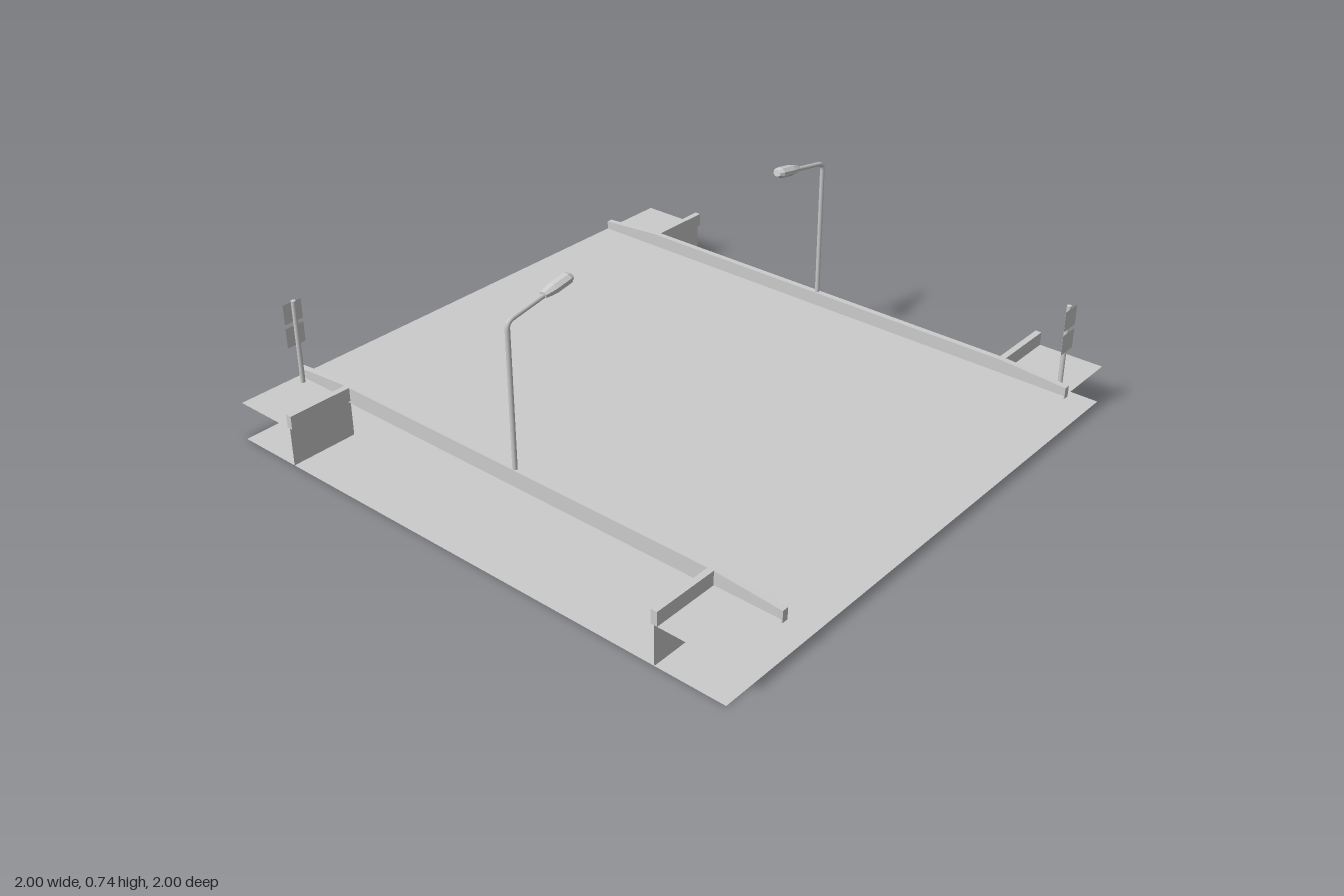
import * as THREE from 'three';

const DECK = 0.136; // road level
const EDGE = 0.757; // half width of the road

const grey = new THREE.MeshStandardMaterial({ color: 0xcccccc });
const sheet = new THREE.MeshStandardMaterial({ color: 0xcccccc, side: THREE.DoubleSide });
const faceted = new THREE.MeshStandardMaterial({ color: 0xcccccc, flatShading: true });

function add(parent, name, geometry, material, x = 0, y = 0, z = 0) {
  const mesh = new THREE.Mesh(geometry, material);
  mesh.name = name;
  mesh.position.set(x, y, z);
  parent.add(mesh);
  return mesh;
}

const floor = (w, d) => new THREE.PlaneGeometry(w, d).rotateX(-Math.PI / 2);

// Street lamp: bent pole with an arm over the road and a faceted head
function createLamp() {
  const lamp = new THREE.Group();
  lamp.name = 'streetLamp';
  const v = (x, y) => new THREE.Vector3(x, y, 0);
  const path = new THREE.CurvePath();
  path.add(new THREE.LineCurve3(v(0, 0.15), v(0, 0.655)));
  path.add(new THREE.QuadraticBezierCurve3(v(0, 0.655), v(0, 0.677), v(-0.025, 0.681)));
  path.add(new THREE.LineCurve3(v(-0.025, 0.681), v(-0.16, 0.704)));
  add(lamp, 'lampPole', new THREE.TubeGeometry(path, 64, 0.008, 8), grey);

  const profile = [[0, 0], [0.014, 0], [0.018, 0.012], [0.024, 0.04], [0.024, 0.1], [0.015, 0.115], [0, 0.115]]
    .map(([r, y]) => new THREE.Vector2(r, y));
  const shell = new THREE.LatheGeometry(profile, 8)
    .rotateY(Math.PI / 8)
    .rotateZ(Math.PI / 2)
    .scale(1, 0.75, 1);
  const head = add(lamp, 'lampHead', shell, faceted, -0.147, 0.704, 0);
  head.rotation.z = -0.17;
  return lamp;
}

// Road sign: slim post with two thin plates
function createSign() {
  const sign = new THREE.Group();
  sign.name = 'roadSign';
  add(sign, 'signPost', new THREE.CylinderGeometry(0.008, 0.008, 0.309, 12), grey, 0, 0.2815, 0);
  for (const y of [0.393, 0.308])
    add(sign, 'signPlate', new THREE.PlaneGeometry(0.072, 0.071), sheet, 0, y, 0.009);
  return sign;
}

// One side of the bridge, with its barrier, bank corners, lamp and sign
function createSide() {
  const side = new THREE.Group();
  side.name = 'bridgeSide';

  // Barrier, sloping down towards both ends
  const outline = new THREE.Shape([[-1, 0.126], [1, 0.126], [1, 0.166], [0.76, 0.184], [-0.76, 0.184], [-1, 0.166]]
    .map(([z, y]) => new THREE.Vector2(z, y)));
  const barrier = new THREE.ExtrudeGeometry(outline, { depth: 0.022, bevelEnabled: false }).rotateY(Math.PI / 2);
  add(side, 'barrier', barrier, grey, 0.744, 0, 0);

  // Bank corners with retaining walls and parapets
  const w = 1 - EDGE, cx = (1 + EDGE) / 2;
  for (const s of [-1, 1]) {
    add(side, 'bankPavement', floor(w, 0.245), sheet, cx, DECK, s * 0.8775);
    add(side, 'retainingWall', new THREE.PlaneGeometry(w, DECK), sheet, cx, DECK / 2, s * 0.755);
    add(side, 'parapet', new THREE.BoxGeometry(w, 0.048, 0.022), grey, cx, DECK + 0.024, s * 0.755);
  }

  const lamp = createLamp();
  lamp.position.set(EDGE, 0, 0);
  const sign = createSign();
  sign.position.set(0.787, 0, 0.958);
  side.add(lamp, sign);
  return side;
}

export function createModel() {
  const model = new THREE.Group();
  model.name = 'roadBridge';
  add(model, 'water', floor(2, 2), sheet);
  add(model, 'roadDeck', floor(2 * EDGE, 2), sheet, 0, DECK, 0);

  // The second side is the first turned half way round
  for (const turn of [0, Math.PI]) {
    const side = createSide();
    side.rotation.y = turn;
    model.add(side);
  }
  return model;
}
